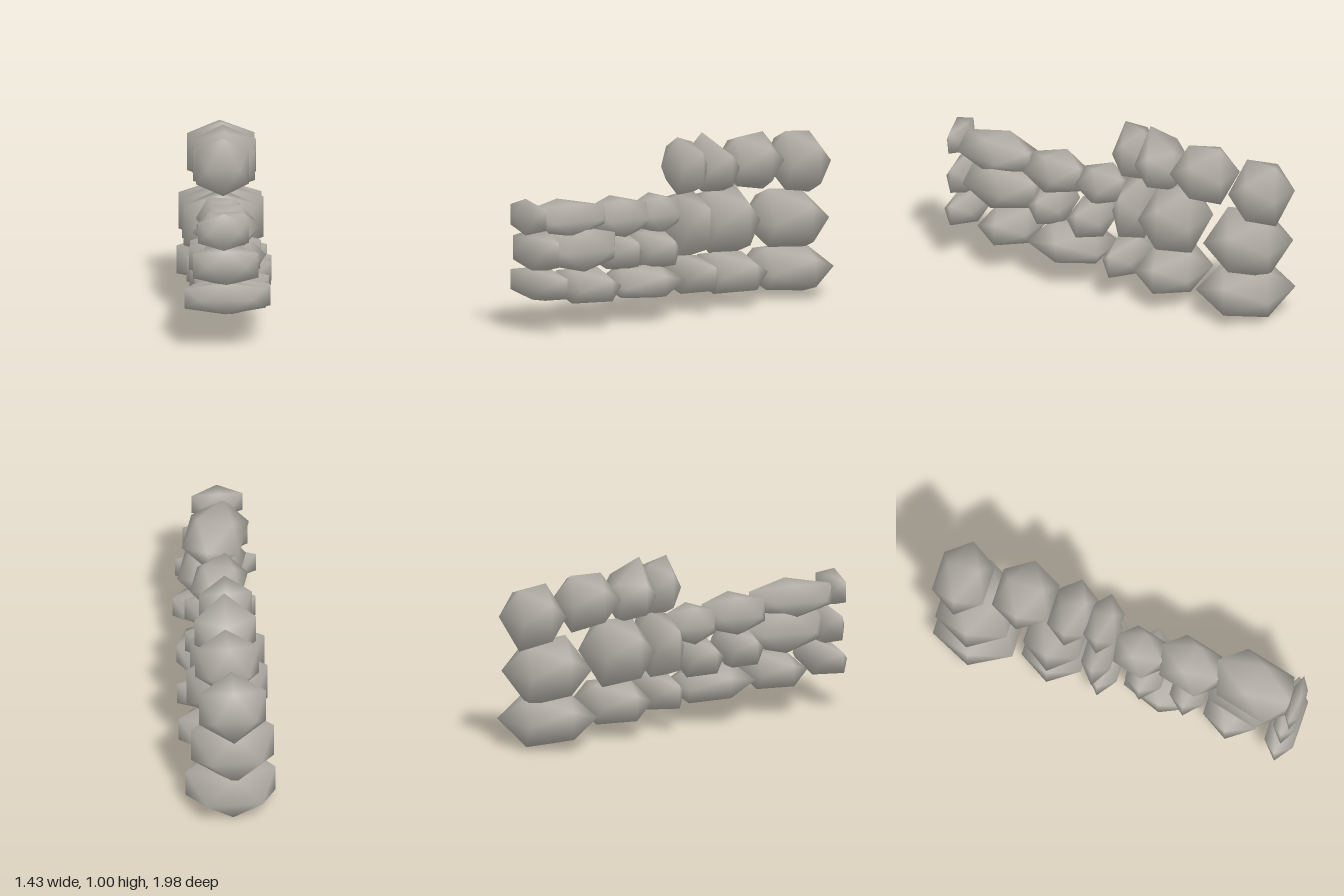
import * as THREE from 'three';
import { mergeVertices } from 'three/addons/utils/BufferGeometryUtils.js';

// Each stone: x, z, half length, half depth,
// then heights of its top (near, far) and bottom (near, far) corners,
// and whether it is a turned stone with its pointed ends along the wall
const COURSES = {
  bottomStone: [
    [0.46, -0.71, 0.235, 0.255, 0.28, 0.28, 0.04, 0.0],
    [0.245, -0.305, 0.175, 0.24, 0.31, 0.29, 0.07, 0.06],
    [0.09, -0.05, 0.09, 0.23, 0.32, 0.31, 0.10, 0.10],
    [-0.10, 0.26, 0.23, 0.21, 0.31, 0.29, 0.13, 0.10],
    [-0.325, 0.60, 0.155, 0.225, 0.33, 0.33, 0.14, 0.125],
    [-0.52, 0.845, 0.085, 0.23, 0.36, 0.37, 0.19, 0.17],
  ],
  middleStone: [
    [0.457, -0.725, 0.21, 0.235, 0.615, 0.58, 0.28, 0.24],
    [0.21, -0.315, 0.165, 0.23, 0.66, 0.67, 0.30, 0.28],
    [0.055, -0.095, 0.085, 0.21, 0.66, 0.68, 0.30, 0.30],
    [-0.07, 0.15, 0.105, 0.20, 0.48, 0.50, 0.28, 0.26],
    [-0.22, 0.37, 0.10, 0.20, 0.51, 0.51, 0.30, 0.28],
    [-0.36, 0.655, 0.25, 0.17, 0.58, 0.57, 0.34, 0.33, true],
    [-0.53, 0.865, 0.065, 0.185, 0.55, 0.60, 0.36, 0.34],
  ],
  upperStone: [
    [-0.06, 0.095, 0.15, 0.13, 0.68, 0.68, 0.47, 0.47, true],
    [-0.205, 0.36, 0.19, 0.145, 0.70, 0.70, 0.49, 0.48, true],
    [-0.41, 0.69, 0.25, 0.165, 0.73, 0.72, 0.54, 0.54, true],
    [-0.565, 0.895, 0.04, 0.145, 0.77, 0.74, 0.56, 0.57],
  ],
  topStone: [
    [0.51, -0.80, 0.15, 0.19, 0.93, 0.91, 0.59, 0.56],
    [0.325, -0.48, 0.165, 0.18, 0.94, 0.95, 0.66, 0.62],
    [0.17, -0.24, 0.12, 0.175, 1.0, 0.86, 0.66, 0.64],
    [0.06, -0.085, 0.095, 0.15, 0.99, 0.95, 0.66, 0.66],
  ],
};

// Uneven twenty-sided lump with shared vertices, so its shading is smooth
function stoneGeometry(a, d, topNear, topFar, lowNear, lowFar, turned) {
  const ico = new THREE.IcosahedronGeometry(1, 0);
  if (turned) ico.rotateX(Math.PI / 2);
  ico.deleteAttribute('normal');
  ico.deleteAttribute('uv');
  const g = mergeVertices(ico);
  const p = g.attributes.position;
  const reach = 0.8507; // farthest coordinate of the unit solid
  const middle = (topNear + topFar + lowNear + lowFar) / 4;
  for (let i = 0; i < p.count; i++) {
    const u = p.getX(i) / reach, v = p.getY(i) / reach, w = p.getZ(i) / reach;
    const far = (u / 0.618 + 1) / 2;
    const edge = v > 0
      ? THREE.MathUtils.lerp(topNear, topFar, far)
      : THREE.MathUtils.lerp(lowNear, lowFar, far);
    p.setXYZ(i, u * a, middle + Math.abs(v) * (edge - middle), w * d);
  }
  g.computeVertexNormals();
  return g;
}

export function createModel() {
  const group = new THREE.Group();
  group.name = 'stoneWall';
  const stone = new THREE.MeshStandardMaterial({ color: 0xb2aea6 });
  stone.name = 'grey stone';

  for (const [name, course] of Object.entries(COURSES)) {
    course.forEach(([x, z, ...shape], i) => {
      const mesh = new THREE.Mesh(stoneGeometry(...shape), stone);
      mesh.name = name + (i + 1);
      mesh.position.set(x, 0, z);
      mesh.rotation.y = shape[6] ? 0.785 : 1.065; // the wall runs diagonally
      group.add(mesh);
    });
  }
  return group;
}
